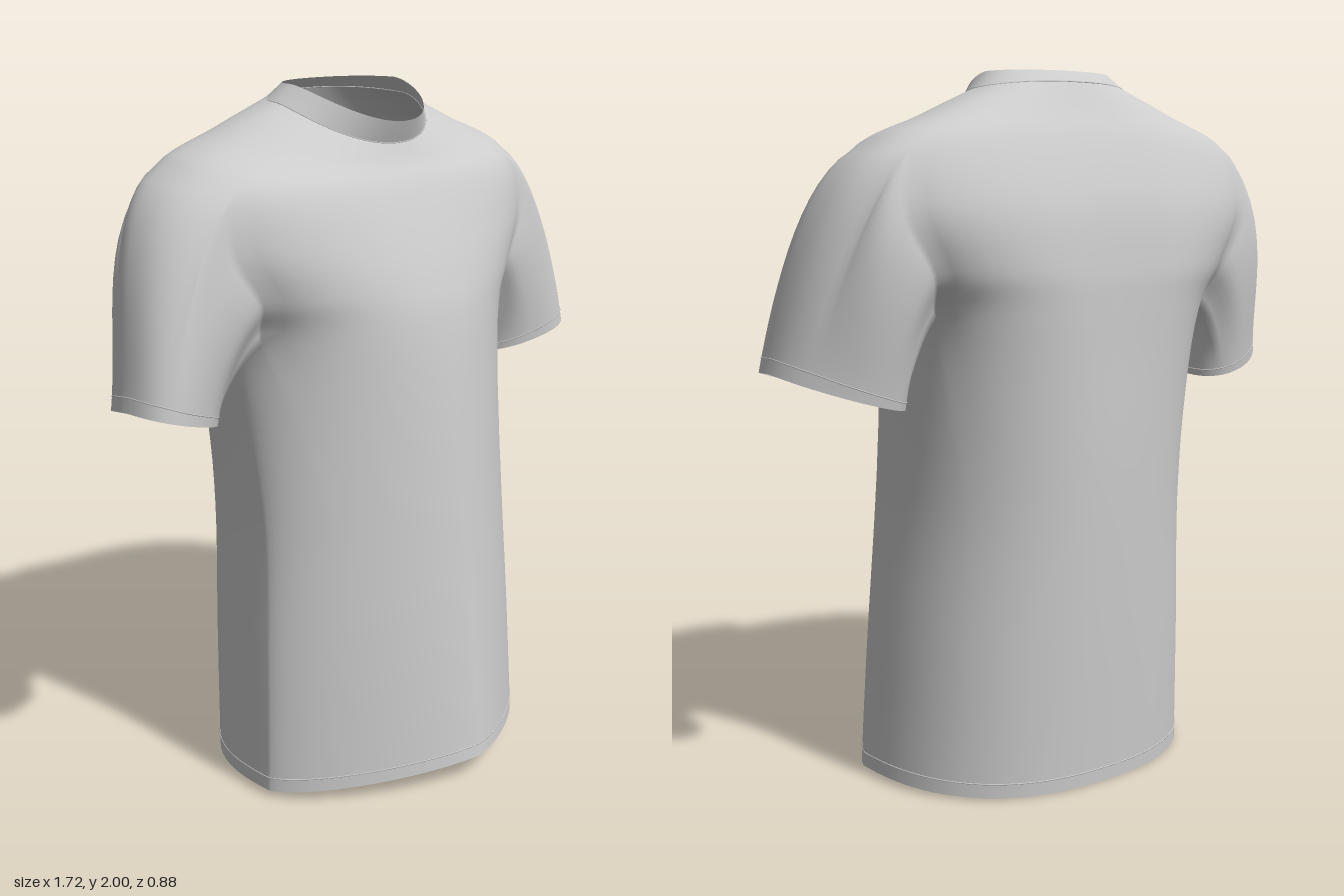
import * as THREE from 'three';

const COLS = 64, STEP = 6, ARM = 8, HOLE0 = 4 * STEP, HOLE1 = 7 * STEP, RINGS = 14;

// Cross-sections: width, side y/z, front y/z, back y/z, front/back squareness, armhole angle
const TORSO = [
  [.515, .022, .08, .07, .445, .003, -.40, 1.4, 2.4, 40],
  [.495, .39, .065, .41, .41, .38, -.415, 1.47, 2.4, 40],
  [.470, .79, .04, .80, .368, .78, -.428, 1.58, 2.4, 38],
  [.475, 1.13, -.02, 1.15, .33, 1.14, -.44, 1.75, 2.45, 28],
  [.497, 1.335, -.08, 1.36, .30, 1.36, -.446, 2.0, 2.6, 20],
  [.575, 1.45, -.10, 1.47, .27, 1.48, -.44, 2.1, 2.8, 30],
  [.67, 1.61, -.12, 1.59, .225, 1.64, -.412, 2.15, 2.8, 32],
  [.62, 1.787, -.13, 1.72, .167, 1.80, -.348, 2.45, 2.8, 33],
  [.43, 1.875, -.13, 1.785, .125, 1.895, -.294, 2.25, 2.5, 38],
  [.255, 1.948, -.12, 1.836, .10, 1.968, -.252, 2.1, 2.2, 40],
];
const COLLAR = [
  TORSO[9],
  [.23, 1.972, -.115, 1.867, .114, 1.984, -.238, 2.1, 2.2, 40],
  [.207, 1.995, -.11, 1.897, .127, 1.998, -.225, 2.1, 2.2, 40],
];

// Smooth blend through a table of sections
function sectionAt(table, t) {
  const last = table.length - 1, i = Math.min(Math.floor(t), last - 1), f = t - i;
  const row = k => table[Math.max(0, Math.min(last, k))];
  return table[0].map((_, n) => {
    const [a, b, c, d] = [row(i - 1)[n], row(i)[n], row(i + 1)[n], row(i + 2)[n]];
    return b + .5 * f * (c - a + f * (2 * a - 5 * b + 4 * c - d + f * (3 * (b - c) + d - a)));
  });
}

// Point on a section; column 0 is the left side, a quarter turn on is the front
function sectionPoint(sec, j) {
  const [w, yS, zS, yF, zF, yB, zB, nF, nB, armDeg] = sec;
  const quarter = COLS / 4, half = j % (COLS / 2);
  const m = half > quarter ? COLS / 2 - half : half;
  const deg = m <= ARM ? armDeg * m / ARM : armDeg + (90 - armDeg) * (m - ARM) / (quarter - ARM);
  const c = Math.max(0, Math.cos(deg * Math.PI / 180)), s = Math.sin(deg * Math.PI / 180);
  const front = j <= COLS / 2, n = front ? nF : nB;
  const sx = j > quarter && j < 3 * quarter ? -1 : 1;
  const x = sx * w * Math.pow(c, 2 / n), depth = Math.pow(s, 2 / n);
  const y = yS + ((front ? yF : yB) - yS) * Math.pow(depth, 1.4);
  let z = zS + ((front ? zF : zB) - zS) * depth;
  // shallow hollow along the spine
  if (!front) z += .022 * Math.exp(-((x / .13) ** 2) - ((y - 1.4) / .35) ** 2);
  return new THREE.Vector3(x, y, z);
}

export function createModel() {
  const group = new THREE.Group();
  group.name = 'tShirt';
  const cloth = new THREE.MeshStandardMaterial({ color: 0xcccccc, side: THREE.DoubleSide });
  cloth.name = 'lightGreyCloth';

  const points = [];
  const add = p => points.push(p) - 1;
  const quad = (list, a, b, c, d, flip) =>
    flip ? list.push(a, b, c, b, d, c) : list.push(a, c, b, b, c, d);
  const parts = {};

  // Lofted tube of closed section rings, optionally skipping cells
  function loft(name, table, skip) {
    const rows = (table.length - 1) * STEP, ids = [], index = [];
    for (let r = 0; r <= rows; r++) {
      const sec = sectionAt(table, r / STEP);
      ids.push(Array.from({ length: COLS }, (_, j) => add(sectionPoint(sec, j))));
    }
    for (let r = 0; r < rows; r++) for (let j = 0; j < COLS; j++) {
      if (skip(r, j)) continue;
      const k = (j + 1) % COLS;
      quad(index, ids[r][j], ids[r][k], ids[r + 1][j], ids[r + 1][k]);
    }
    parts[name] = index;
    return ids;
  }

  // Torso with an armhole left open on each side
  const inArmhole = (r, j) => r >= HOLE0 && r < HOLE1 &&
    (j < ARM || j >= COLS - ARM || (j >= COLS / 2 - ARM && j < COLS / 2 + ARM));
  const body = loft('body', TORSO, inArmhole);
  const collar = loft('collar', COLLAR, () => false);

  // Sleeve grown from the armhole edge to the cuff
  function sleeve(name, side) {
    const id = (r, j) => body[r][((side > 0 ? j : COLS / 2 - j) + COLS) % COLS];
    const edge = [];
    for (let j = -ARM; j < ARM; j++) edge.push(id(HOLE0, j));
    for (let r = HOLE0; r < HOLE1; r++) edge.push(id(r, ARM));
    for (let j = ARM; j > -ARM; j--) edge.push(id(HOLE1, j));
    for (let r = HOLE1; r > HOLE0; r--) edge.push(id(r, -ARM));
    const n = edge.length, rings = [edge], index = [];
    const square = v => Math.sign(v) * Math.pow(Math.abs(v), .85);
    for (let r = 1; r <= RINGS; r++) {
      const t = r / RINGS, t2 = t * t, t3 = t2 * t;
      rings.push(edge.map((e, i) => {
        const phi = 2 * Math.PI * (i - ARM) / n, c = Math.cos(phi), s = Math.sin(phi);
        const top = (1 - c) / 2, back = Math.max(0, -s), u = s > 0 ? square(c) : c;
        const p0 = points[e].clone();
        p0.x *= side;
        const p1 = new THREE.Vector3(.702 - .158 * u, 1.158 - .048 * u - .02 * back, -.09 - .055 * u + .162 * square(s));
        const d0 = new THREE.Vector3(.08 + .42 * top, -.04 - .21 * top, -.08 * back);
        const d1 = new THREE.Vector3(.02 + .1 * top, -.26 - .26 * top, .06 * back);
        const p = p0.multiplyScalar(2 * t3 - 3 * t2 + 1)
          .addScaledVector(d0, t3 - 2 * t2 + t)
          .addScaledVector(p1, 3 * t2 - 2 * t3)
          .addScaledVector(d1, t3 - t2);
        p.x *= side;
        return add(p);
      }));
    }
    for (let r = 0; r < RINGS; r++) for (let i = 0; i < n; i++) {
      const k = (i + 1) % n;
      quad(index, rings[r][i], rings[r][k], rings[r + 1][i], rings[r + 1][k], side < 0);
    }
    parts[name] = index;
    return rings;
  }
  const leftSleeve = sleeve('leftSleeve', 1);
  const rightSleeve = sleeve('rightSleeve', -1);

  // Shared positions and normals keep the shading continuous across the armholes
  const whole = new THREE.BufferGeometry().setFromPoints(points);
  whole.setIndex(Object.values(parts).flat());
  whole.computeVertexNormals();
  for (const [name, index] of Object.entries(parts)) {
    const geometry = new THREE.BufferGeometry();
    geometry.setAttribute('position', whole.attributes.position);
    geometry.setAttribute('normal', whole.attributes.normal);
    geometry.setIndex(index);
    const mesh = new THREE.Mesh(geometry, cloth);
    mesh.name = name;
    group.add(mesh);
  }

  // Fine stitching beside each hem
  const seams = {
    hemStitch: body[1], collarSeam: collar[0],
    leftCuffStitch: leftSleeve[RINGS - 1], rightCuffStitch: rightSleeve[RINGS - 1],
  };
  for (const [name, ring] of Object.entries(seams)) {
    const path = new THREE.CatmullRomCurve3(ring.map(i => points[i]), true);
    const mesh = new THREE.Mesh(new THREE.TubeGeometry(path, 128, .002, 5, true), cloth);
    mesh.name = name;
    group.add(mesh);
  }
  return group;
}
